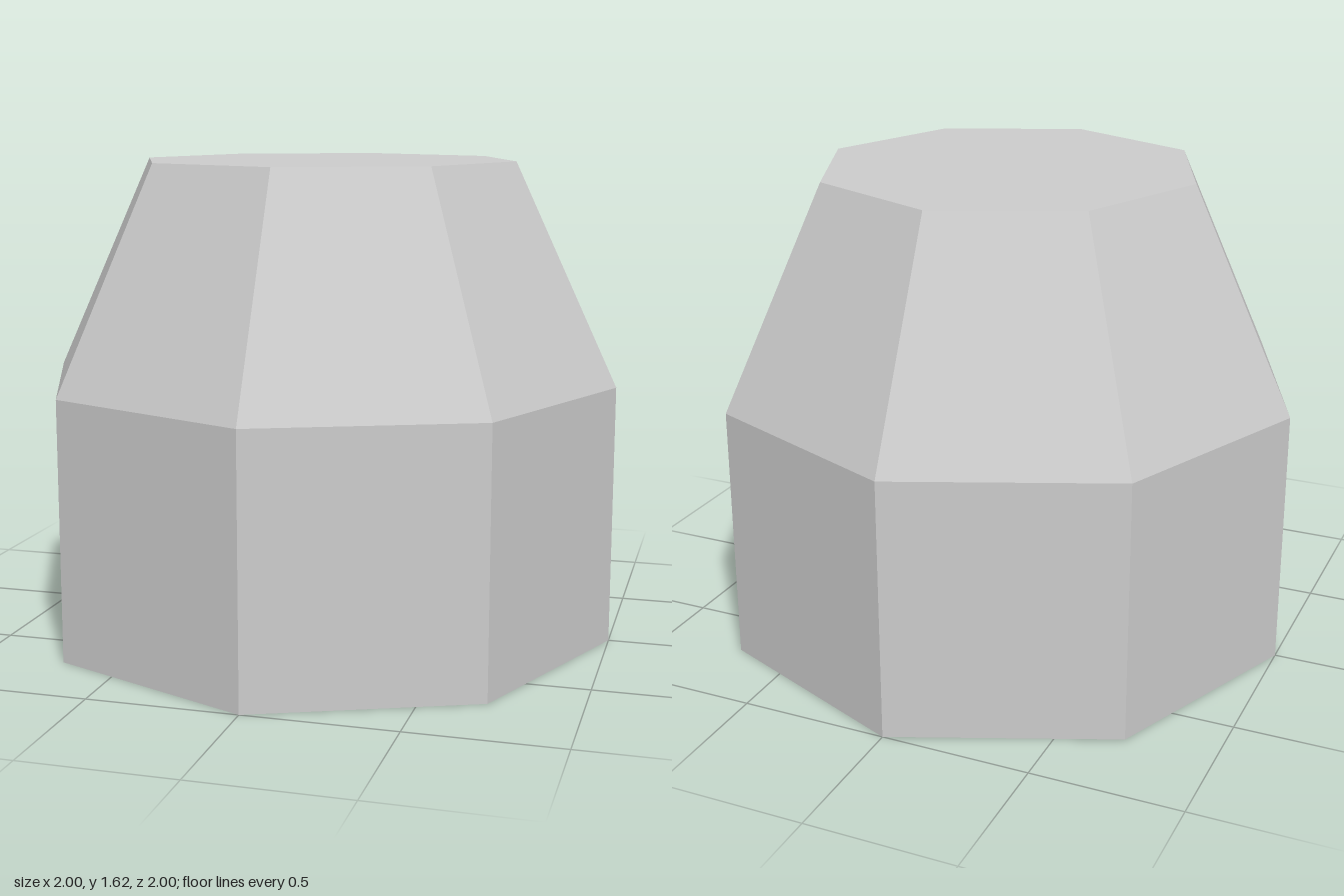
import * as THREE from 'three';

const SIDES = 8;
const BASE_RADIUS = 1;
const TOP_RADIUS = 0.65;
const WALL_HEIGHT = 0.88;
const TOTAL_HEIGHT = 1.625;

export function createModel() {
  const group = new THREE.Group();
  group.name = 'octagonalCap';

  // Thin open shell, visible from inside through the open bottom
  const grey = new THREE.MeshStandardMaterial({
    name: 'light grey', color: 0xcccccc, flatShading: true, side: THREE.DoubleSide,
  });

  const add = (name, geometry, y) => {
    const mesh = new THREE.Mesh(geometry, grey);
    mesh.name = name;
    mesh.position.y = y;
    group.add(mesh);
  };

  // Open eight-sided ring between two heights
  const ring = (name, bottomRadius, topRadius, y0, y1) => add(
    name,
    new THREE.CylinderGeometry(topRadius, bottomRadius, y1 - y0, SIDES, 1, true),
    (y0 + y1) / 2,
  );

  // Upright lower wall and tapering upper wall
  ring('lowerWall', BASE_RADIUS, BASE_RADIUS, 0, WALL_HEIGHT);
  ring('taperedWall', BASE_RADIUS, TOP_RADIUS, WALL_HEIGHT, TOTAL_HEIGHT);

  // Flat octagonal lid; the bottom stays open
  add('topLid', new THREE.CircleGeometry(TOP_RADIUS, SIDES).rotateX(-Math.PI / 2), TOTAL_HEIGHT);

  return group;
}
